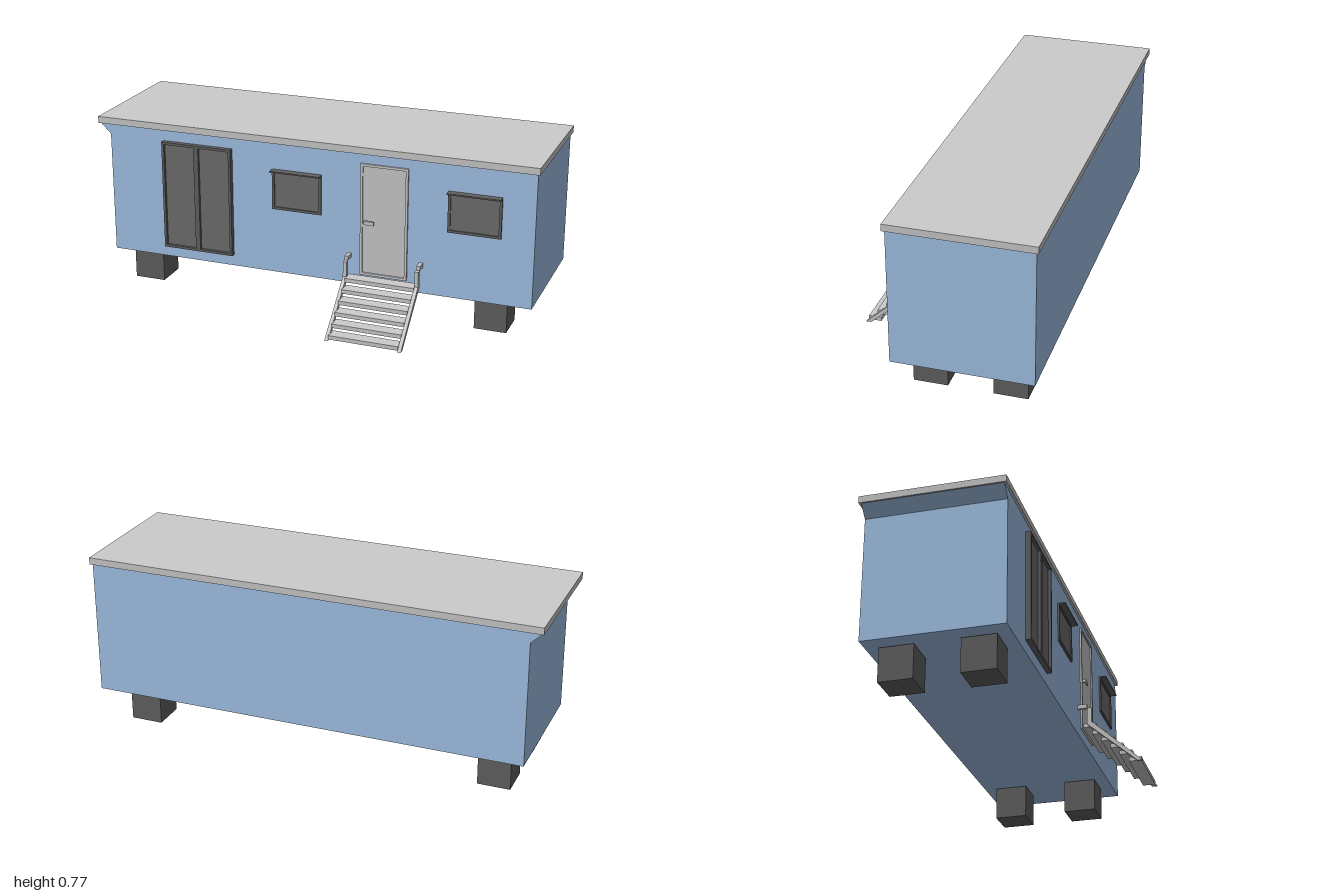
import * as THREE from 'three';

const mat = (color) => new THREE.MeshStandardMaterial({ color });
const grey = mat(0xcccccc);
const blue = mat(0xa3c4e9);
const dark = mat(0x626262);
const glass = mat(0x707070);

const WALL_Z = 0.161;

function add(parent, name, geometry, material) {
  const mesh = new THREE.Mesh(geometry, material);
  mesh.name = name;
  parent.add(mesh);
  return mesh;
}

// Box given by its lower and upper limits on each axis
function box(parent, name, [x0, x1], [y0, y1], [z0, z1], material) {
  const mesh = add(parent, name, new THREE.BoxGeometry(x1 - x0, y1 - y0, z1 - z0), material);
  mesh.position.set((x0 + x1) / 2, (y0 + y1) / 2, (z0 + z1) / 2);
  return mesh;
}

const polygon = (points) => new THREE.Shape(points.map(([x, y]) => new THREE.Vector2(x, y)));
const rect = (x0, x1, y0, y1) => [[x0, y0], [x1, y0], [x1, y1], [x0, y1]];
const extrude = (shape, depth) => new THREE.ExtrudeGeometry(shape, { depth, bevelEnabled: false });

// Rectangular surround on the front wall, with one or more openings
function frame(parent, name, [x0, x1], [y0, y1], openings, z1, material) {
  const shape = polygon(rect(x0, x1, y0, y1));
  for (const [a, b, c, d] of openings) shape.holes.push(polygon(rect(a, b, c, d)));
  const z0 = WALL_Z - 0.005;
  add(parent, name, extrude(shape, z1 - z0), material).position.z = z0;
}

function group(parent, name) {
  const g = new THREE.Group();
  g.name = name;
  parent.add(g);
  return g;
}

function addWindow(parent, name, x0, x1) {
  const g = group(parent, name);
  const y0 = 0.447, y1 = 0.625, t = 0.011;
  frame(g, 'windowFrame', [x0, x1], [y0, y1], [[x0 + t, x1 - t, y0 + t, y1 - t]], 0.169, dark);
  box(g, 'windowPane', [x0 + t, x1 - t], [y0 + t, y1 - t], [WALL_Z - 0.004, 0.163], glass);
  box(g, 'windowHood', [x0, x1], [0.622, 0.628], [WALL_Z, 0.196], dark);
}

function addSlidingDoor(parent) {
  const g = group(parent, 'slidingDoor');
  const x0 = -0.686, x1 = -0.357, y0 = 0.204, y1 = 0.696, t = 0.011;
  const mid = (x0 + x1) / 2;
  const panes = [[x0 + t, mid - t], [mid + t, x1 - t]];
  frame(g, 'slidingDoorFrame', [x0, x1], [y0, y1],
    panes.map(([a, b]) => [a, b, y0 + t, y1 - t]), 0.184, dark);
  for (const pane of panes) {
    box(g, 'slidingDoorPane', pane, [y0 + t, y1 - t], [WALL_Z - 0.004, 0.171], glass);
  }
}

function addEntranceDoor(parent) {
  const g = group(parent, 'entranceDoor');
  const x0 = 0.234, x1 = 0.445, y0 = 0.2, y1 = 0.703, t = 0.011;
  frame(g, 'doorFrame', [x0, x1], [y0, y1], [[x0 + t, x1 - t, y0 + t, y1 - t]], 0.169, grey);
  box(g, 'doorLeaf', [x0 + t, x1 - t], [y0 + t, y1 - t], [WALL_Z - 0.004, 0.163], grey);
  box(g, 'handleStem', [0.255, 0.267], [0.437, 0.45], [0.163, 0.178], grey);
  box(g, 'handleLever', [0.255, 0.3], [0.435, 0.452], [0.175, 0.182], grey);
}

function addStairs(parent) {
  const g = group(parent, 'stairs');
  for (let i = 0; i < 6; i++) {
    const z = 0.439 - i * 0.04, y = 0.004 + i * 0.0362;
    box(g, 'tread', [0.192, 0.5], [y, y + 0.018], [z - 0.056, z], grey);
  }
  // Stringer, post and handrail in one side profile (z, y)
  const profile = polygon([
    [0.447, 0], [0.224, 0.204], [0.224, 0.272], [0.203, 0.272], [0.203, 0.194], [0.424, 0],
  ]);
  for (const right of [0.194, 0.515]) {
    const side = extrude(profile, 0.016);
    side.rotateY(-Math.PI / 2);
    add(g, 'stringer', side, grey).position.x = right;
    box(g, 'handrail', [right - 0.016, right], [0.272, 0.291], [WALL_Z, 0.203], grey);
  }
}

export function createModel() {
  const model = new THREE.Group();
  model.name = 'siteCabin';

  // Walls: one profile with a flared eave at one end
  const walls = polygon([
    [-0.945, 0.152], [0.99, 0.152], [0.99, 0.747], [-0.995, 0.747], [-0.945, 0.698],
  ]);
  add(model, 'body', extrude(walls, WALL_Z + 0.437), blue).position.z = -0.437;
  box(model, 'roof', [-1, 1], [0.745, 0.775], [-0.447, 0.171], grey);

  // Four support blocks
  for (const x of [-0.879, 0.731]) {
    for (const z of [-0.379, -0.042]) {
      box(model, 'supportBlock', [x, x + 0.142], [0, 0.148], [z, z + 0.146], dark);
    }
  }

  addSlidingDoor(model);
  addWindow(model, 'middleWindow', -0.169, 0.057);
  addWindow(model, 'endWindow', 0.619, 0.849);
  addEntranceDoor(model);
  addStairs(model);
  return model;
}
